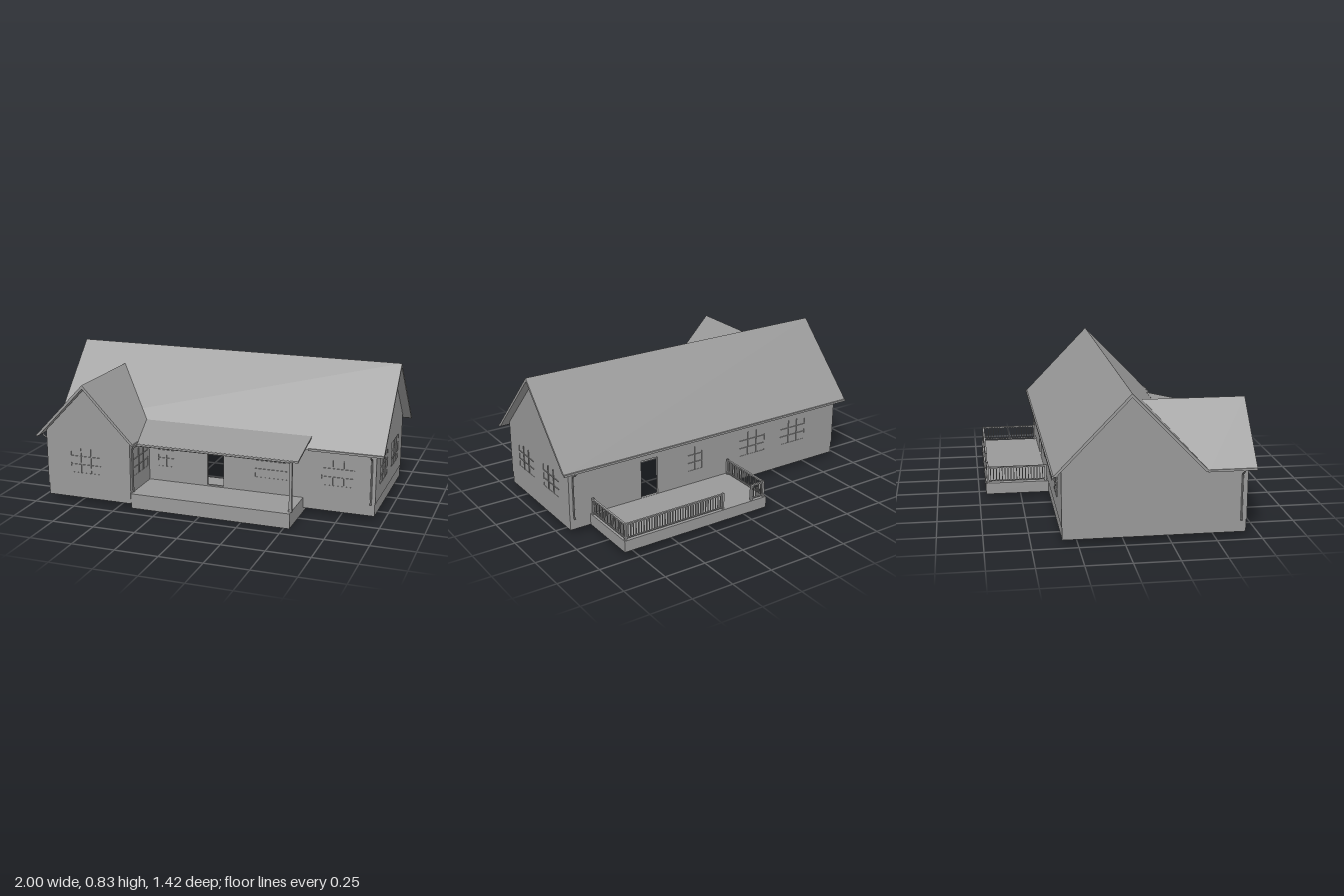
import * as THREE from 'three';

const mat = new THREE.MeshStandardMaterial({ color: 0x999999, flatShading: true, side: THREE.DoubleSide });
const T = 0.015; // wall thickness

export function createModel() {
  const house = new THREE.Group();
  house.name = 'house';

  const add = (parent, name, geo) => {
    const m = new THREE.Mesh(geo, mat);
    m.name = name;
    parent.add(m);
    return m;
  };
  // Box given by its min and max corners
  const box = (parent, name, x0, x1, y0, y1, z0, z1) =>
    add(parent, name, new THREE.BoxGeometry(x1 - x0, y1 - y0, z1 - z0))
      .position.set((x0 + x1) / 2, (y0 + y1) / 2, (z0 + z1) / 2);
  const toShape = pts => new THREE.Shape(pts.map(p => new THREE.Vector2(p[0], p[1])));
  const extrude = (shape, depth) => new THREE.ExtrudeGeometry(shape, { depth, bevelEnabled: false });

  // Pane and glazing bars filling one opening
  const windowIn = (parent, [u0, u1, v0, v1]) => {
    const w = new THREE.Group();
    w.name = 'window';
    parent.add(w);
    box(w, 'glass', u0, u1, v0, v1, -0.008, -0.002);
    const cols = u1 - u0 > 0.12 ? 3 : 2;
    const b = 0.0015;
    for (let i = 1; i < cols; i++) {
      const u = u0 + (u1 - u0) * i / cols;
      box(w, 'verticalBar', u - b, u + b, v0, v1, -0.01, 0.003);
    }
    for (let i = 1; i < 3; i++) {
      const v = v0 + (v1 - v0) * i / 3;
      box(w, 'horizontalBar', u0, u1, v - b, v + b, -0.01, 0.003);
    }
  };

  // Upright panel drawn in its own plane, outer face on local z = 0
  const wall = (name, pts, turn, x, z, windows = [], doors = []) => {
    const g = new THREE.Group();
    g.name = name;
    g.rotation.y = turn;
    g.position.set(x, 0, z);
    house.add(g);
    const s = toShape(pts);
    for (const [a, b, c, d] of [...windows, ...doors])
      s.holes.push(new THREE.Path([[a, c], [a, d], [b, d], [b, c]].map(p => new THREE.Vector2(...p))));
    add(g, 'panel', extrude(s, T).translate(0, 0, -T));
    windows.forEach(w => windowIn(g, w));
  };
  const rect = (a, b, c, d) => [[a, c], [b, c], [b, d], [a, d]];
  const win = (u, w = 0.19) => [u - w / 2, u + w / 2, 0.185, 0.335];
  const gable = (a, mid, b, top) => [[a, 0.1], [b, 0.1], [b, 0.425], [mid, top], [a, 0.425]];
  const Q = Math.PI / 2;

  // Walls
  wall('frontWall', rect(-0.42, 0.951, 0.1, 0.425), 0, 0, 0.401,
    [win(-0.31, 0.1), win(0.34), win(0.735)], [[-0.05, 0.05, 0.101, 0.335]]);
  wall('backWall', rect(-0.951, 0.951, 0.1, 0.43), Math.PI, 0, -0.337,
    [win(-0.115, 0.1), win(0.305), win(0.62)], [[-0.485, -0.375, 0.101, 0.335]]);
  wall('leftGableWall', gable(-0.401, -0.03, 0.337, 0.807), Q, 0.951, 0, [win(-0.19), win(0.125)]);
  wall('rightGableWall', gable(-0.337, 0.03, 0.401, 0.807), -Q, -0.951, 0);
  wall('wingFrontWall', gable(-0.951, -0.69, -0.42, 0.697), 0, 0, 0.672, [win(-0.7)]);
  wall('wingRightWall', rect(0.401, 0.672, 0.1, 0.425), -Q, -0.951, 0);
  wall('wingLeftWall', rect(-0.672, -0.386, 0.1, 0.415), Q, -0.42, 0, [win(-0.52)]);

  // Open foundation ring
  const base = (a, b, turn, x, z) => wall('foundation', rect(a, b, 0.03, 0.1), turn, x, z);
  base(-0.423, 0.948, 0, 0, 0.398);
  base(-0.948, 0.948, Math.PI, 0, -0.334);
  base(-0.398, 0.334, Q, 0.948, 0);
  base(-0.334, 0.669, -Q, -0.948, 0);
  base(-0.948, -0.423, 0, 0, 0.669);
  base(-0.669, -0.383, Q, -0.423, 0);

  // Gable roof profile with level-cut eaves
  const chevron = (mid, half, top) => toShape([[mid - half, 0.398], [mid, top], [mid + half, 0.398],
    [mid + half - 0.02, 0.398], [mid, top - 0.022], [mid - half + 0.02, 0.398]]);

  // Main roof, swept along x
  add(house, 'mainRoof', extrude(chevron(-0.03, 0.418, 0.832), 2).rotateY(Q).translate(-1, 0, 0));

  // Wing roof, its rear end cut to lie on the main slope
  const wingGeo = extrude(chevron(-0.689, 0.311, 0.724), 0.71);
  const p = wingGeo.attributes.position;
  for (let i = 0; i < p.count; i++)
    if (p.getZ(i) < 0.01) p.setZ(i, 0.03 + (0.832 - p.getY(i)) * 0.418 / 0.434);
  wingGeo.computeVertexNormals();
  add(house, 'wingRoof', wingGeo);

  // Porch: slab, shallow roof, beams and post
  box(house, 'porchSlab', -0.42, 0.533, 0.004, 0.092, 0.245, 0.67);
  const porchRoof = toShape([[-0.662, 0.396], [-0.39, 0.46], [-0.39, 0.45], [-0.662, 0.386]]);
  add(house, 'porchRoof', extrude(porchRoof, 1.01).rotateY(Q).translate(-0.435, 0, 0));
  box(house, 'porchBeam', -0.42, 0.535, 0.374, 0.392, 0.622, 0.642);
  box(house, 'porchSideBeam', 0.517, 0.535, 0.378, 0.396, 0.401, 0.63);
  box(house, 'porchPost', 0.519, 0.535, 0.092, 0.376, 0.624, 0.64);
  box(house, 'porchPostFoot', 0.516, 0.538, 0.092, 0.105, 0.621, 0.643);

  // Gutters along the eaves
  box(house, 'backGutter', -1, 1, 0.392, 0.404, -0.391, -0.38);
  box(house, 'frontGutter', 0.57, 1, 0.392, 0.404, 0.439, 0.45);
  box(house, 'porchGutter', -0.38, 0.53, 0.384, 0.395, 0.653, 0.666);
  box(house, 'wingGutter', -1, -0.989, 0.392, 0.404, 0.44, 0.71);
  box(house, 'wingGutter', -0.389, -0.378, 0.392, 0.404, 0.64, 0.71);

  // Downspouts: out at the gutter, bent back to the wall, then straight down
  const downspout = (ex, ez, wx, wz) => {
    const path = new THREE.CurvePath();
    const v = (f, y) => new THREE.Vector3(ex + (wx - ex) * f, y, ez + (wz - ez) * f);
    const pts = [v(0, 0.396), v(0.1, 0.38), v(0.85, 0.365), v(1, 0.35), v(1, 0.11), v(0.8, 0.1)];
    for (let i = 1; i < pts.length; i++) path.add(new THREE.LineCurve3(pts[i - 1], pts[i]));
    add(house, 'downspout', new THREE.TubeGeometry(path, 48, 0.005, 6));
  };
  downspout(0.927, 0.444, 0.927, 0.408);
  downspout(0.927, -0.385, 0.927, -0.344);
  downspout(-0.994, 0.64, -0.957, 0.64);
  downspout(-0.384, 0.65, -0.413, 0.65);

  // Rear deck
  box(house, 'deck', -0.13, 0.82, 0.03, 0.098, -0.71, -0.33);

  // Railing run between two points on the deck
  const railing = (x0, z0, x1, z1) => {
    const g = new THREE.Group();
    g.name = 'railing';
    const len = Math.hypot(x1 - x0, z1 - z0);
    g.position.set(x0, 0, z0);
    g.rotation.y = -Math.atan2(z1 - z0, x1 - x0);
    house.add(g);
    box(g, 'topRail', 0, len, 0.187, 0.195, -0.006, 0.006);
    box(g, 'bottomRail', 0, len, 0.106, 0.112, -0.004, 0.004);
    for (const e of [0, len]) box(g, 'railPost', e - 0.006, e + 0.006, 0.098, 0.198, -0.006, 0.006);
    const n = Math.round(len / 0.017);
    for (let i = 1; i < n; i++) {
      const u = len * i / n;
      box(g, 'baluster', u - 0.0025, u + 0.0025, 0.11, 0.19, -0.0025, 0.0025);
    }
  };
  railing(-0.115, -0.35, -0.115, -0.698);
  railing(0.808, -0.35, 0.808, -0.698);
  railing(-0.115, -0.698, -0.03, -0.698);
  railing(0.17, -0.698, 0.808, -0.698);

  return house;
}
